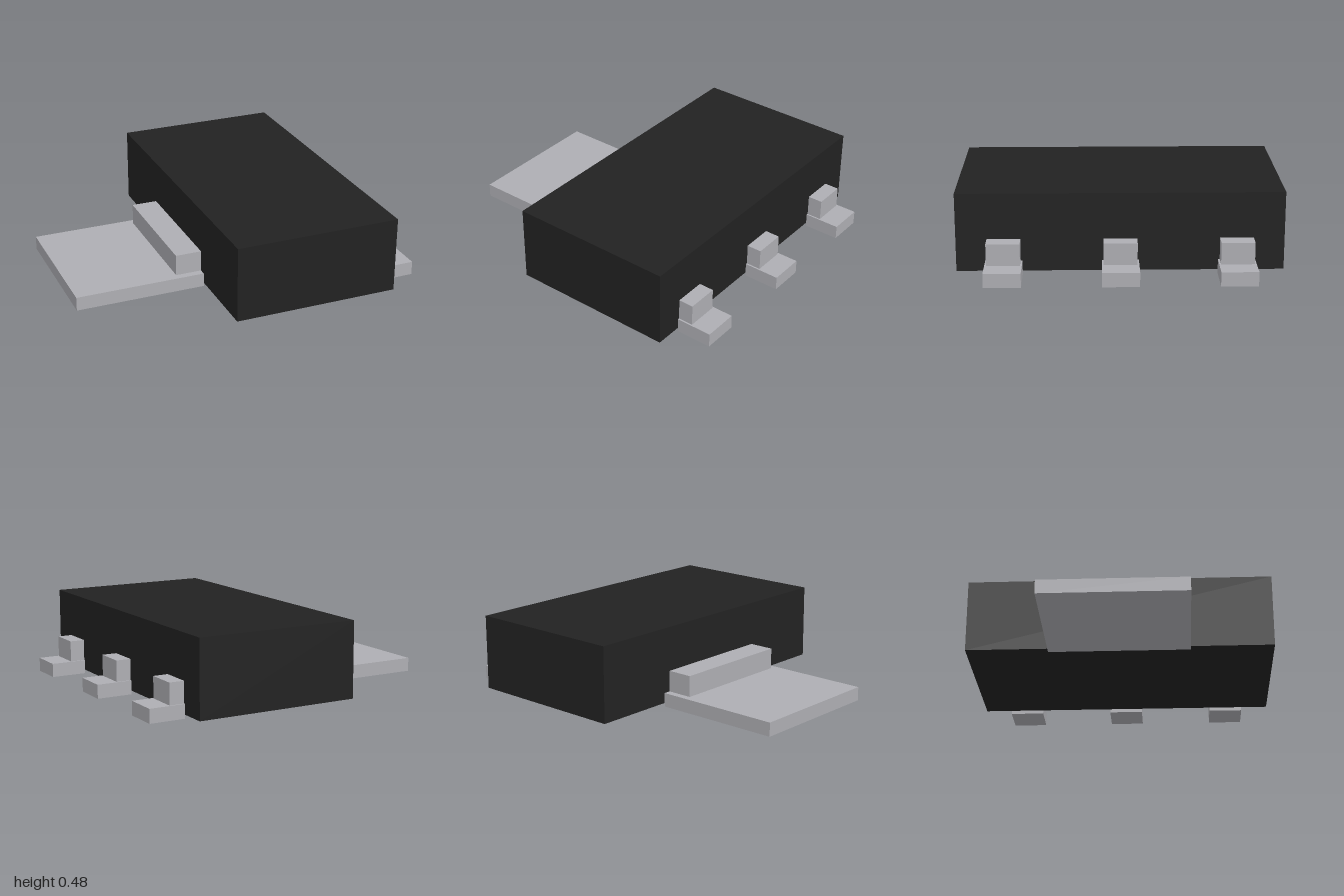
import * as THREE from 'three';

export function createModel() {
  const group = new THREE.Group();
  const plastic = new THREE.MeshStandardMaterial({ color: 0x222222 });
  plastic.name = 'black plastic';
  const metal = new THREE.MeshStandardMaterial({ color: 0xaeaeb3 });
  metal.name = 'grey metal';

  // Box given by its extents along x, y and z
  function addBox(parent, name, material, [x0, x1], [y0, y1], [z0, z1]) {
    const mesh = new THREE.Mesh(new THREE.BoxGeometry(x1 - x0, y1 - y0, z1 - z0), material);
    mesh.position.set((x0 + x1) / 2, (y0 + y1) / 2, (z0 + z1) / 2);
    mesh.name = name;
    parent.add(mesh);
  }

  // Package body
  addBox(group, 'body', plastic, [-0.215, 0.783], [0.022, 0.477], [-0.926, 0.926]);

  // Wide tab with its raised step
  const tab = new THREE.Group();
  tab.name = 'wideTab';
  addBox(tab, 'tabPlate', metal, [-1, -0.215], [0, 0.083], [-0.426, 0.426]);
  addBox(tab, 'tabStep', metal, [-0.373, -0.215], [0.083, 0.21], [-0.383, 0.383]);
  group.add(tab);

  // Three narrow pins
  [-0.657, 0, 0.657].forEach((z, i) => {
    const pin = new THREE.Group();
    pin.name = `pin${i + 1}`;
    pin.position.z = z;
    addBox(pin, 'pinFoot', metal, [0.783, 1], [0, 0.083], [-0.105, 0.105]);
    addBox(pin, 'pinStep', metal, [0.783, 0.873], [0.083, 0.21], [-0.095, 0.095]);
    group.add(pin);
  });

  return group;
}
